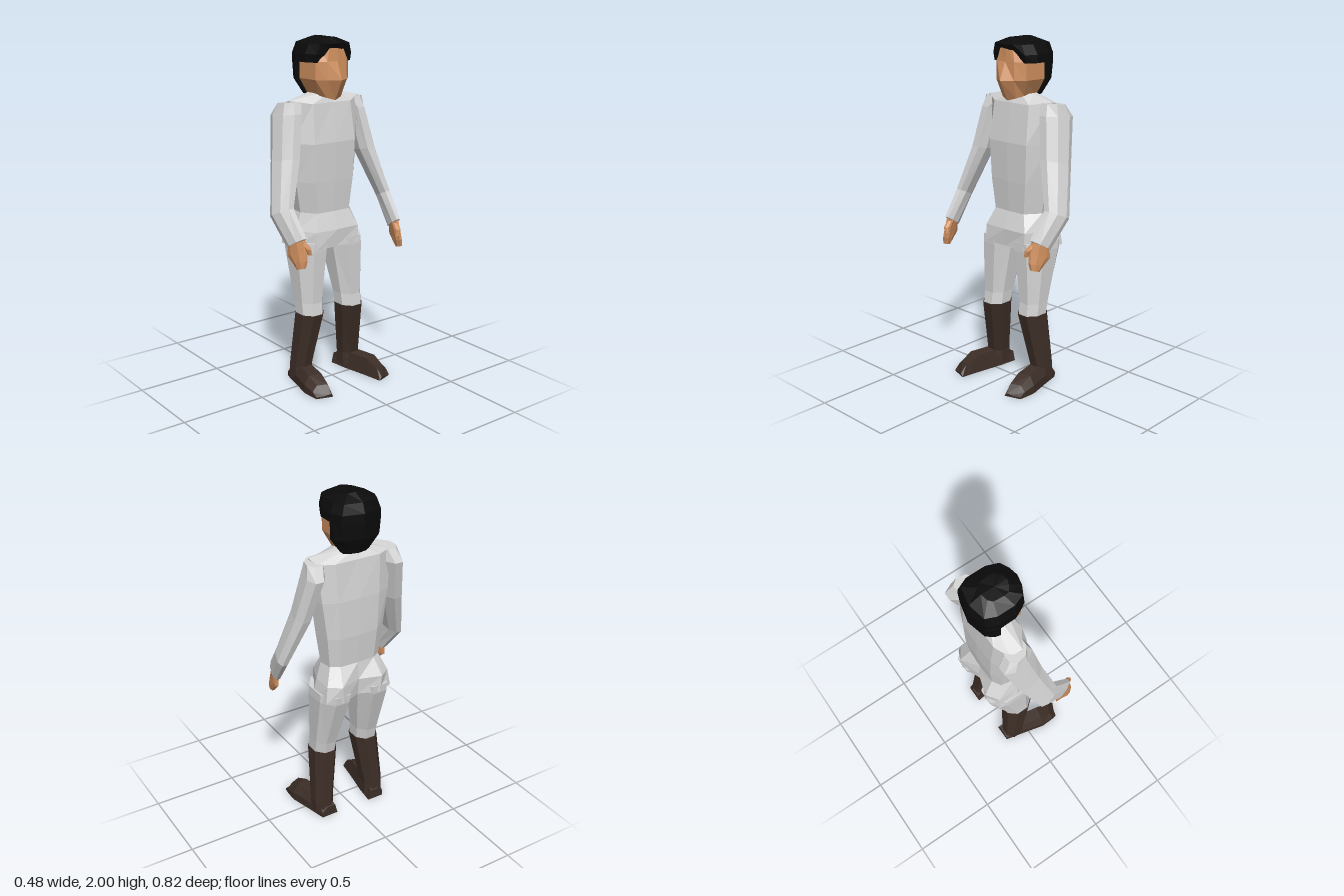
import * as THREE from 'three';

const mat = (name, color) => {
  const m = new THREE.MeshStandardMaterial({ color, flatShading: true });
  m.name = name;
  return m;
};

// Skin a list of closed rings of [x, y, z] points, with fan caps at both ends.
function loft(name, rings, material) {
  const tris = [];
  const n = rings[0].length;
  for (let i = 0; i < rings.length - 1; i++) {
    for (let j = 0; j < n; j++) {
      const k = (j + 1) % n;
      const a = rings[i][j], b = rings[i][k], c = rings[i + 1][k], d = rings[i + 1][j];
      tris.push([a, b, c], [a, c, d]);
    }
  }
  const mid = r => [0, 1, 2].map(c => r.reduce((s, p) => s + p[c], 0) / n);
  const first = rings[0], last = rings[rings.length - 1];
  const m0 = mid(first), m1 = mid(last);
  for (let j = 0; j < n; j++) {
    const k = (j + 1) % n;
    tris.push([m0, first[k], first[j]], [m1, last[j], last[k]]);
  }
  // Turn all faces outwards, whichever way the rings run
  let volume = 0;
  for (const [a, b, c] of tris) {
    volume += a[0] * (b[1] * c[2] - b[2] * c[1]) + a[1] * (b[2] * c[0] - b[0] * c[2])
      + a[2] * (b[0] * c[1] - b[1] * c[0]);
  }
  if (volume < 0) tris.forEach(t => t.reverse());
  const g = new THREE.BufferGeometry();
  g.setAttribute('position', new THREE.Float32BufferAttribute(tris.flat(2), 3));
  g.computeVertexNormals();
  const mesh = new THREE.Mesh(g, material);
  mesh.name = name;
  return mesh;
}

// Symmetric ring from half a profile of [x, z, dy], front centre to back centre
function half(y, pts) {
  const full = pts.map(([x, z, dy = 0]) => [x, y + dy, z]);
  const other = full.slice(1, -1).reverse().map(([x, h, z]) => [x, h, -z]);
  return [...full, ...other];
}

// Limb ring: chamfered rectangle, sloped in y and skewed in z along x
function ring(y, x0, x1, z0, z1, slope = 0, skew = 0, cut = 0.28) {
  const cx = (x0 + x1) / 2, dx = (x1 - x0) * cut, dz = (z1 - z0) * cut;
  return [
    [x0 + dx, z0], [x1 - dx, z0], [x1, z0 + dz], [x1, z1 - dz],
    [x1 - dx, z1], [x0 + dx, z1], [x0, z1 - dz], [x0, z0 + dz],
  ].map(([x, z]) => [x, y + (x - cx) * slope, z + (x - cx) * skew]);
}

export function createModel() {
  const cloth = mat('pale grey cloth', 0xd4d4d4);
  const skin = mat('skin', 0xd0905f);
  const leather = mat('dark brown leather', 0x3d2e27);
  const black = mat('black hair', 0x0b0b0b);
  const model = new THREE.Group();
  model.name = 'figure';

  // Torso and hips in one piece
  model.add(loft('torso', [
    half(1.69, [[-0.02, 0], [-0.03, 0.05], [-0.08, 0.09], [-0.12, 0.08], [-0.14, 0.05], [-0.15, 0]]),
    half(1.64, [[0.0, 0], [0.0, 0.13], [-0.07, 0.24, 0.02], [-0.14, 0.23], [-0.18, 0.14], [-0.18, 0]]),
    half(1.42, [[0.035, 0], [0.03, 0.14], [-0.07, 0.23], [-0.16, 0.21], [-0.195, 0.13], [-0.2, 0]]),
    half(1.2, [[0.03, 0], [0.025, 0.13], [-0.07, 0.2], [-0.16, 0.18], [-0.195, 0.12], [-0.2, 0]]),
    half(1.02, [[0.02, 0], [0.015, 0.11], [-0.07, 0.172], [-0.15, 0.16], [-0.18, 0.11], [-0.185, 0]]),
    half(0.92, [[0.055, 0], [0.05, 0.15], [-0.07, 0.2], [-0.19, 0.2], [-0.24, 0.13], [-0.2, 0]]),
    half(0.82, [[0.05, 0], [0.058, 0.15], [-0.07, 0.225], [-0.2, 0.215], [-0.238, 0.12], [-0.19, 0]]),
  ], cloth));

  // Head with pointed nose and tapered jaw
  model.add(loft('head', [
    half(1.67, [[0.03, 0, -0.015], [0.015, 0.05], [-0.03, 0.07, 0.01], [-0.13, 0.07, 0.01], [-0.17, 0, 0.01]]),
    half(1.77, [[0.09, 0], [0.05, 0.065], [0.0, 0.113], [-0.14, 0.12], [-0.2, 0]]),
    half(1.87, [[0.05, 0], [0.045, 0.065], [0.0, 0.113], [-0.14, 0.12], [-0.2, 0]]),
    half(1.95, [[0.045, 0], [0.038, 0.045], [-0.01, 0.08], [-0.13, 0.1], [-0.18, 0]]),
  ], skin));
  model.add(loft('neck', [ring(1.62, -0.14, -0.03, -0.06, 0.06), ring(1.72, -0.14, -0.03, -0.06, 0.06)], skin));

  // Hair: a cap above the ears and a longer piece at the back
  model.add(loft('hairCap', [
    half(1.865, [[0.0, 0], [0.008, 0.06], [0.01, 0.118], [-0.05, 0.148], [-0.14, 0.15], [-0.21, 0.12], [-0.24, 0]]),
    half(1.91, [[0.028, 0], [0.028, 0.06], [0.02, 0.118], [-0.05, 0.148], [-0.14, 0.148], [-0.21, 0.118], [-0.24, 0]]),
    half(1.965, [[0.06, 0], [0.048, 0.055], [0.025, 0.1], [-0.04, 0.125], [-0.14, 0.125], [-0.2, 0.1], [-0.22, 0]]),
    half(2.0, [[0.0, 0, -0.004], [-0.01, 0.03, -0.006], [-0.03, 0.06, -0.01], [-0.06, 0.065, -0.008],
      [-0.12, 0.06, -0.008], [-0.14, 0.04, -0.004], [-0.15, 0]]),
  ], black));
  model.add(loft('hairBack', [
    half(1.68, [[-0.13, 0], [-0.13, 0.08], [-0.16, 0.08], [-0.18, 0.05], [-0.19, 0]]),
    half(1.77, [[-0.14, 0], [-0.14, 0.148], [-0.17, 0.14], [-0.208, 0.11], [-0.235, 0]]),
    half(1.87, [[-0.14, 0], [-0.14, 0.15], [-0.17, 0.14], [-0.21, 0.12], [-0.24, 0]]),
  ], black));

  // Limbs, built once for each side
  for (const s of [1, -1]) {
    const side = new THREE.Group();
    side.name = s > 0 ? 'limbsPositiveZ' : 'limbsNegativeZ';
    const add = (name, rings, material) =>
      side.add(loft(name, rings.map(r => r.map(([x, y, z]) => [x, y, z * s])), material));

    // Sleeve from shoulder over elbow to wrist
    add('arm', [
      ring(1.648, -0.16, -0.04, 0.16, 0.275, 0.1, -0.2),
      ring(1.58, -0.205, -0.015, 0.18, 0.29, 0.1, -0.15),
      ring(1.34, -0.14, 0.025, 0.225, 0.335, 0.2, -0.2),
      ring(1.07, -0.04, 0.085, 0.325, 0.4, 0.45, -0.3),
      ring(0.92, 0.085, 0.195, 0.32, 0.375, 0.6, -0.25),
    ], cloth);
    add('hand', [
      ring(0.92, 0.09, 0.185, 0.325, 0.37, 0.5, -0.3),
      ring(0.865, 0.09, 0.205, 0.33, 0.37, 0.4, -0.3),
      ring(0.82, 0.13, 0.215, 0.33, 0.368, 0.3, -0.25),
      ring(0.785, 0.16, 0.21, 0.335, 0.365, 0.3, -0.2),
    ], skin);
    add('thumb', [
      ring(0.93, 0.15, 0.19, 0.315, 0.345),
      ring(0.9, 0.175, 0.225, 0.305, 0.335),
      ring(0.865, 0.2, 0.227, 0.302, 0.322),
    ], skin);

    // Trouser leg
    add('leg', [
      ring(0.86, -0.235, 0.055, 0.02, 0.223),
      ring(0.81, -0.23, 0.056, 0.025, 0.226),
      ring(0.5, -0.128, 0.045, 0.068, 0.213),
      ring(0.425, -0.113, 0.055, 0.072, 0.212),
    ], cloth);

    // Boot shaft and foot, toes turned outwards
    add('bootShaft', [
      ring(0.43, -0.116, 0.06, 0.068, 0.216),
      ring(0.1, -0.138, -0.008, 0.115, 0.235),
      ring(0.02, -0.145, 0.0, 0.115, 0.235),
    ], leather);
    const foot = [
      [-0.15, 0.112, 0.215, 0.06, 0], [-0.04, 0.125, 0.24, 0.105, 0], [0.12, 0.155, 0.275, 0.1, 0.02],
      [0.2, 0.168, 0.272, 0.065, 0.025], [0.238, 0.174, 0.268, 0.02, 0.03],
    ];
    add('bootFoot', foot.map(([x, z0, z1, h, back]) => [
      [x, 0, z0], [x - back, 0, z1], [x - back, h * 0.5, z1],
      [x - back, h, z1 - 0.03], [x, h, z0 + 0.015],
    ]), leather);
    model.add(side);
  }
  return model;
}
